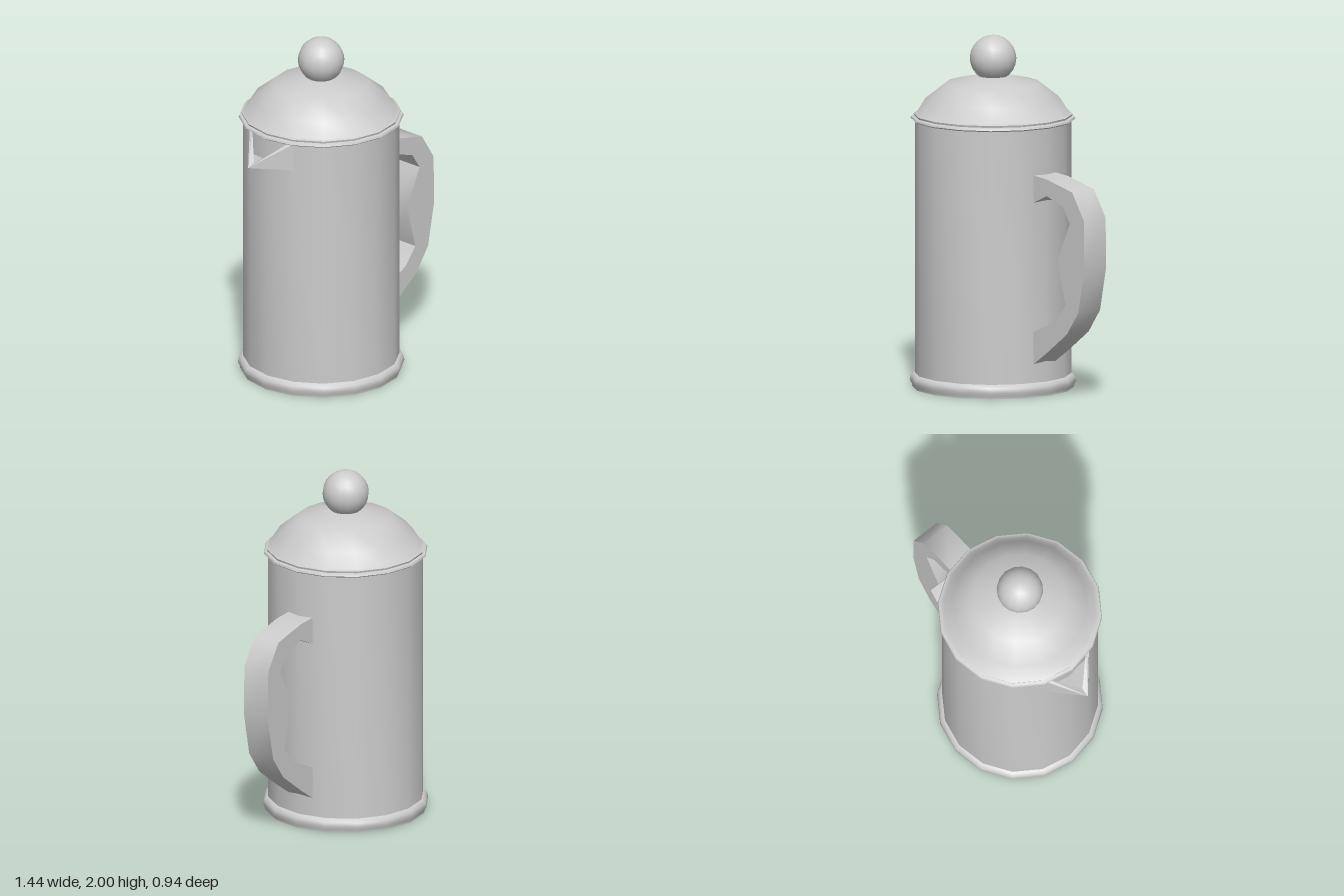
import * as THREE from 'three';
import { toCreasedNormals } from 'three/addons/utils/BufferGeometryUtils.js';

const AXIS_X = -0.12; // the pot's vertical axis
const SIDES = 16;

export function createModel() {
  const model = new THREE.Group();
  model.name = 'coffeePress';
  const material = new THREE.MeshStandardMaterial({ color: 0xcccccc });
  const openMaterial = new THREE.MeshStandardMaterial({ color: 0xcccccc, side: THREE.DoubleSide });

  function add(name, geometry, mat = material) {
    const mesh = new THREE.Mesh(geometry, mat);
    mesh.name = name;
    model.add(mesh);
    return mesh;
  }

  // Turned part from [radius, y] pairs, listed bottom to top
  function turned(name, profile, crease = 0.7) {
    const points = profile.map(([r, y]) => new THREE.Vector2(r, y));
    const geometry = toCreasedNormals(new THREE.LatheGeometry(points, SIDES), crease);
    add(name, geometry).position.x = AXIS_X;
  }

  // Base ring, closed underneath
  turned('base', [[0, 0], [0.455, 0], [0.457, 0.015], [0.468, 0.035], [0.464, 0.06], [0.45, 0.075], [0.438, 0.08]], 0.9);

  // Straight vessel
  turned('body', [[0.44, 0.04], [0.44, 1.525]]);

  // Domed lid with a stepped rim
  turned('lid', [[0, 1.52], [0.455, 1.52], [0.464, 1.527], [0.46, 1.537], [0.444, 1.542],
    [0.447, 1.553], [0.43, 1.56], [0.38, 1.64], [0.265, 1.73], [0.1, 1.767], [0, 1.77]]);

  // Ball knob
  add('knob', new THREE.SphereGeometry(0.131, SIDES, 12)).position.set(AXIS_X, 1.869, 0);

  // Handle: flat grip outline, outer edge down and inner edge back up
  const outline = [[0.295, 1.26], [0.41, 1.25], [0.62, 1.2], [0.715, 1.05], [0.72, 0.77], [0.67, 0.52],
    [0.575, 0.385], [0.41, 0.26], [0.295, 0.18], [0.295, 0.365], [0.485, 0.45], [0.565, 0.55],
    [0.5, 0.8], [0.6, 1.02], [0.54, 1.11], [0.41, 1.155], [0.295, 1.1]];
  const grip = new THREE.ExtrudeGeometry(
    new THREE.Shape(outline.map(([x, y]) => new THREE.Vector2(x, y))),
    { depth: 0.168, bevelEnabled: false });
  grip.translate(0, 0, -0.084);
  add('handle', toCreasedNormals(grip, 0.9));

  // Spout: open wedge with a rim and a sunken pocket, mirrored in z
  const spout = [];
  for (const s of [1, -1]) {
    const tip = [-0.72, 1.39, 0];
    const top = [-0.527, 1.525, 0.168 * s];
    const low = [-0.527, 1.365, 0.168 * s];
    const lowMid = [-0.55, 1.365, 0];
    const innerTip = [-0.672, 1.405, 0];
    const innerTop = [-0.54, 1.52, 0.135 * s];
    const innerLow = [-0.54, 1.385, 0.135 * s];
    const innerMid = [-0.55, 1.385, 0];
    const faces = [
      [tip, low, top], // outer wall
      [tip, lowMid, low], // underside
      [tip, top, innerTop], [tip, innerTop, innerTip], // rim
      [innerTip, innerTop, innerLow], // pocket wall
      [innerTip, innerLow, innerMid], // pocket floor
    ];
    for (const [a, b, c] of faces) spout.push(...a, ...(s > 0 ? b : c), ...(s > 0 ? c : b));
  }
  const spoutGeometry = new THREE.BufferGeometry();
  spoutGeometry.setAttribute('position', new THREE.Float32BufferAttribute(spout, 3));
  spoutGeometry.computeVertexNormals();
  add('spout', spoutGeometry, openMaterial);

  return model;
}
